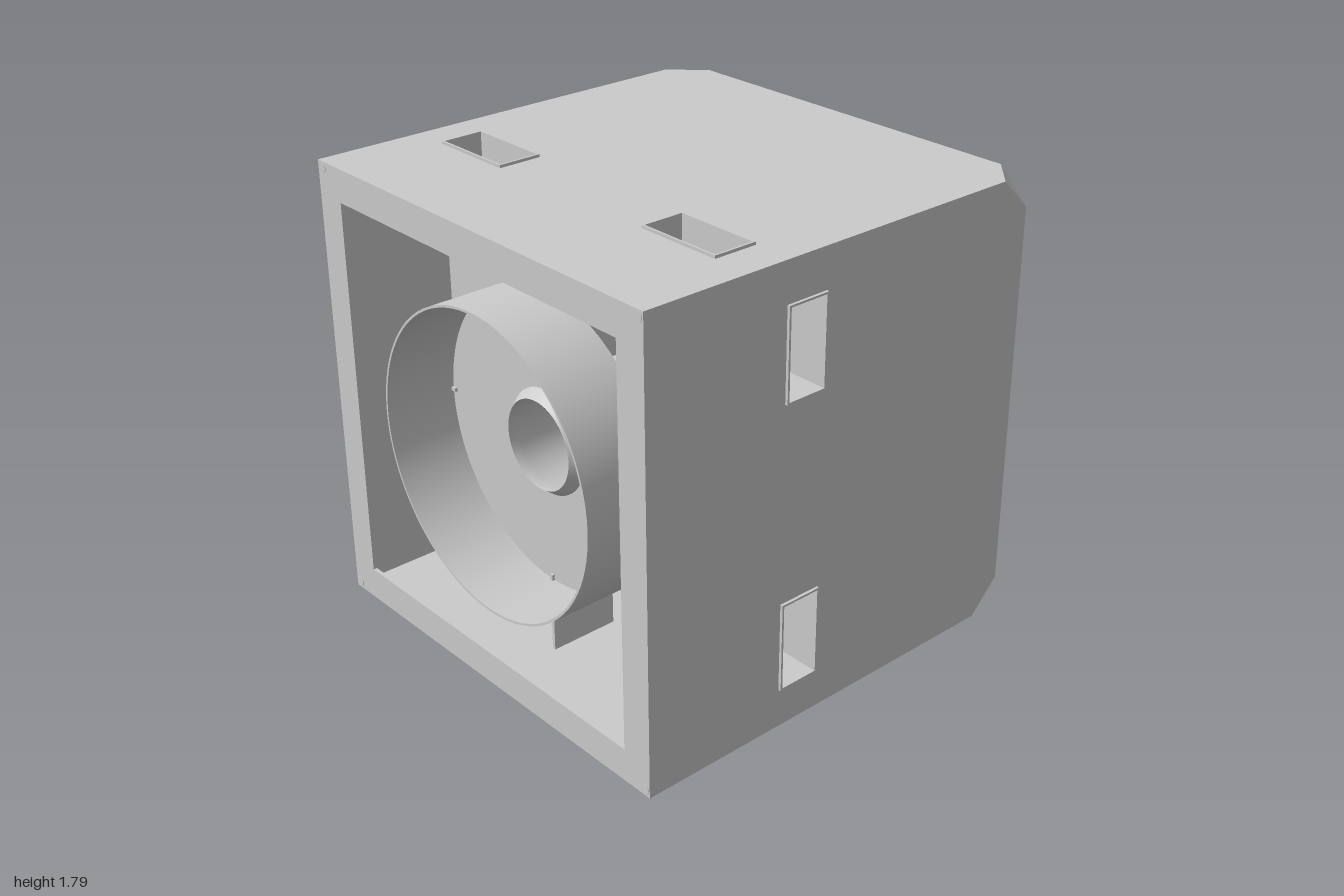
import * as THREE from 'three';
import { toCreasedNormals } from 'three/addons/utils/BufferGeometryUtils.js';

const H = 0.884;        // half width of the case
const CY = 0.897;       // height of its centre
const BACK = -0.755, FRONT = 1, CUT = 0.125;
const PORT = { x: 0.555, w: 0.35, d: 0.175 };

const material = new THREE.MeshStandardMaterial({ color: 0xcccccc, side: THREE.DoubleSide });

function add(parent, name, geometry, x = 0, y = 0, z = 0) {
  const mesh = new THREE.Mesh(geometry, material);
  mesh.name = name;
  mesh.position.set(x, y, z);
  parent.add(mesh);
  return mesh;
}

// Group turned about the z axis
function turned(parent, name, angle) {
  const group = new THREE.Group();
  group.name = name;
  group.rotation.z = angle;
  parent.add(group);
  return group;
}

const points = (list) => list.map(([x, y]) => new THREE.Vector2(x, y));
const polygon = (list) => new THREE.Shape(points(list));
const rect = (x, y, w, h) => [
  [x - w / 2, y - h / 2], [x + w / 2, y - h / 2], [x + w / 2, y + h / 2], [x - w / 2, y + h / 2],
];
// Square with cut corners
const octagon = (h, c) => [
  [h - c, -h], [h, c - h], [h, h - c], [h - c, h], [c - h, h], [-h, h - c], [-h, c - h], [c - h, -h],
];

function plate(outline, holes, depth) {
  const shape = polygon(outline);
  holes.forEach((hole) => shape.holes.push(new THREE.Path(points(hole))));
  return new THREE.ExtrudeGeometry(shape, { depth, bevelEnabled: false });
}

// Plate drawn in x and z, extruded downwards
const flatPlate = (outline, holes, depth) => plate(outline, holes, depth).rotateX(Math.PI / 2);

// Profile of [radius, z] turned about the z axis
function turnedProfile(profile, segments = 64) {
  const geometry = new THREE.LatheGeometry(points(profile), segments).rotateX(Math.PI / 2);
  return toCreasedNormals(geometry, 0.5);
}

function buildCase(body) {
  for (let k = 0; k < 4; k++) {
    const side = turned(body, 'caseSide', k * Math.PI / 2);
    const portZ = k % 2 ? 0.3225 : 0.49;

    // Wall with two lifting ports and cut rear corners
    const outline = [
      [-H, FRONT], [-H, BACK + CUT], [CUT - H, BACK], [H - CUT, BACK], [H, BACK + CUT], [H, FRONT],
    ];
    const ports = [-1, 1].map((s) => rect(s * PORT.x, portZ, PORT.w, PORT.d));
    add(side, 'wall', flatPlate(outline, ports, 0.012), 0, H, 0);

    // Rectangular tubes run from wall to wall
    if (k < 2) {
      for (const s of [-1, 1]) {
        const tube = flatPlate(
          rect(s * PORT.x, portZ, PORT.w, PORT.d),
          [rect(s * PORT.x, portZ, PORT.w - 0.016, PORT.d - 0.016)],
          2 * (H + 0.011),
        );
        add(side, 'portTube', tube, 0, H + 0.011, 0);
      }
    }

    // Slanted rear corner
    const corner = new THREE.BufferGeometry();
    corner.setAttribute('position', new THREE.Float32BufferAttribute([
      H, H, BACK + CUT, H, H - CUT, BACK, H - CUT, H, BACK,
    ], 3));
    corner.computeVertexNormals();
    add(side, 'rearCornerPlate', corner);

    // Pin at the front corner
    const pin = new THREE.CylinderGeometry(0.02, 0.02, 0.03, 20).rotateX(Math.PI / 2);
    add(side, 'frontCornerPin', pin, H - 0.025, H - 0.025, FRONT - 0.013);

    // Lifting eye on the rear corner gusset
    const eye = new THREE.Group();
    eye.name = 'liftingEye';
    eye.position.set(0.722, 0.722, BACK);
    eye.rotation.z = -Math.PI / 4;
    side.add(eye);
    const bow = new THREE.TorusGeometry(0.052, 0.013, 10, 24, Math.PI).rotateX(-Math.PI / 2);
    add(eye, 'eyeBow', bow, 0, 0, -0.014);
    for (const s of [-1, 1]) {
      const leg = new THREE.CylinderGeometry(0.013, 0.013, 0.03, 10).rotateX(Math.PI / 2);
      add(eye, 'eyeLeg', leg, s * 0.052, 0, 0);
    }
  }
  add(body, 'frontFrame', plate(rect(0, 0, 2 * H, 2 * H), [rect(0, 0, 1.512, 1.512)], 0.015), 0, 0, FRONT - 0.015);
  add(body, 'rearFrame', plate(octagon(H, CUT), [octagon(0.72, 0.12)], 0.015), 0, 0, BACK);
}

function buildDrumAndPipe(body) {
  // Shallow open drum with its back plate
  add(body, 'drum', turnedProfile([
    [0.18, 0.69], [0.58, 0.69], [0.58, 0.99], [0.571, 0.99], [0.571, 0.7], [0.18, 0.7],
  ], 96));

  // Long central pipe with a collar at the rear and a tapered mouth
  add(body, 'pipe', turnedProfile([
    [0.176, -1], [0.222, -1], [0.222, -0.948], [0.21, -0.948], [0.21, -0.74],
    [0.202, -0.74], [0.202, 0.705], [0.172, 0.745], [0.172, 0.7], [0.176, 0.69], [0.176, -1],
  ]));

  // Three clamping bolts around the rear of the pipe
  for (let k = 0; k < 3; k++) {
    const bolt = turned(body, 'clampBolt', k * Math.PI * 2 / 3);
    const cylinder = (name, r0, r1, from, to, sides) => add(
      bolt, name,
      new THREE.CylinderGeometry(r1, r0, to - from, sides).rotateZ(-Math.PI / 2),
      (from + to) / 2, 0, -0.868,
    );
    cylinder('boss', 0.068, 0.068, 0.19, 0.27, 32);
    cylinder('bossTop', 0.068, 0.045, 0.27, 0.288, 32);
    cylinder('boltShank', 0.016, 0.016, 0.165, 0.33, 16);
    const head = cylinder('boltHead', 0.036, 0.036, 0.322, 0.362, 6);
    head.geometry = toCreasedNormals(head.geometry, 0.3);
  }
}

function buildSupports(body) {
  for (let k = 0; k < 4; k++) {
    const arm = turned(body, 'supportArm', k * Math.PI / 2);
    // Thin fin between the drum and the wall
    add(arm, 'drumFin', new THREE.BoxGeometry(0.33, 0.014, 0.28), 0.713, 0, 0.57);
    // Rear beam between the pipe and the wall
    add(arm, 'rearBeam', new THREE.BoxGeometry(0.68, 0.08, 0.08), 0.535, 0, -0.7);
    // Hook on the beam
    const hook = flatPlate(
      [[0.46, -0.73], [0.46, -0.865], [0.505, -0.865], [0.57, -0.8], [0.57, -0.73]], [], 0.016,
    );
    add(arm, 'hook', hook, 0, 0.008, 0);
  }
  // Diagonal brace between two of the beams
  const brace = add(body, 'diagonalBrace', new THREE.BoxGeometry(0.72, 0.06, 0.012), 0.255, -0.255, -0.747);
  brace.rotation.z = Math.PI / 4;
}

export function createModel() {
  const model = new THREE.Group();
  model.name = 'casedPipeUnit';
  const body = new THREE.Group();
  body.name = 'body';
  body.position.y = CY;
  model.add(body);
  buildCase(body);
  buildDrumAndPipe(body);
  buildSupports(body);
  return model;
}
